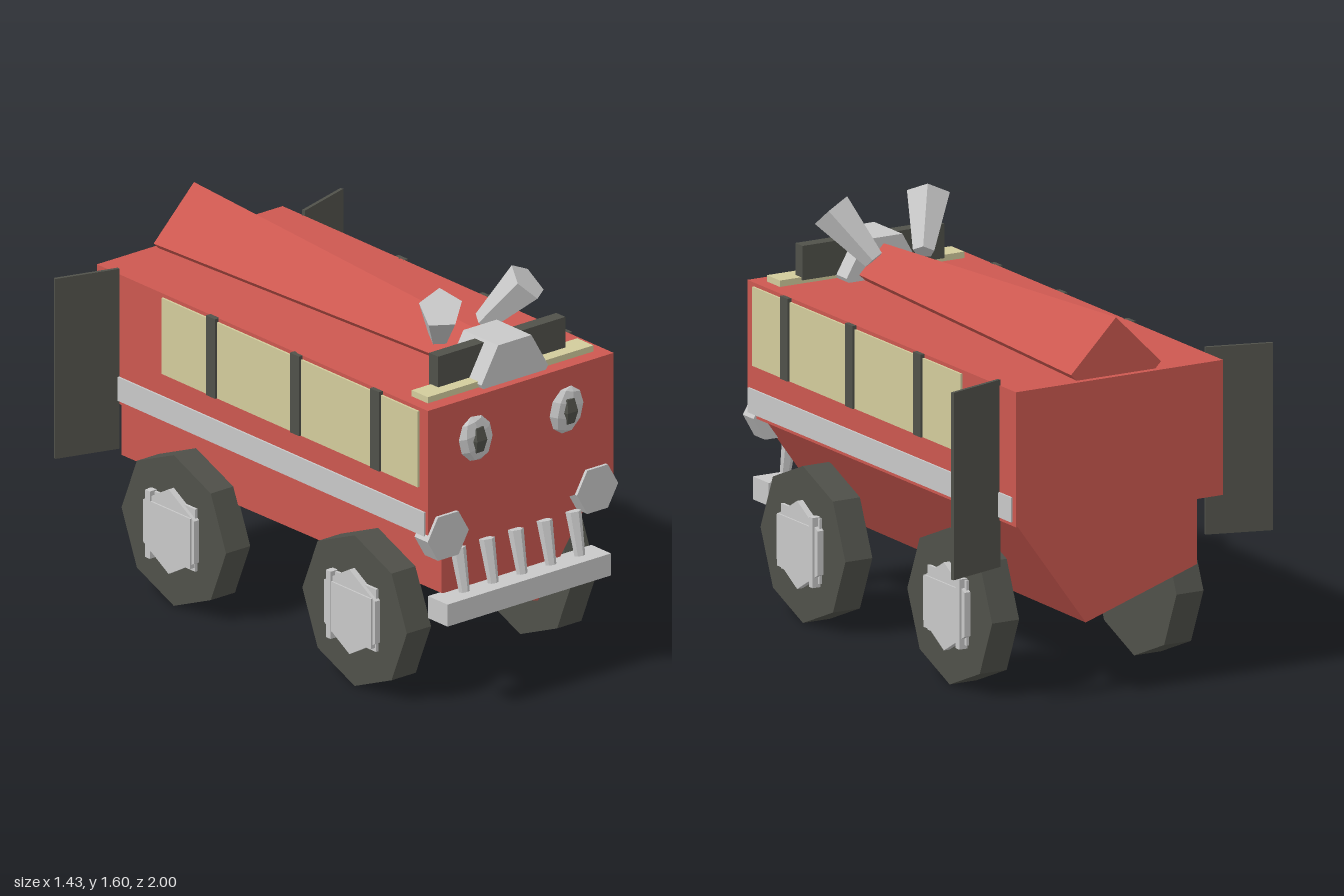
import * as THREE from 'three';

const mat = (name, color) => {
  const m = new THREE.MeshStandardMaterial({ color });
  m.name = name;
  return m;
};

// Faceted copy of a geometry
const flat = (geo) => {
  const g = geo.index ? geo.toNonIndexed() : geo;
  g.computeVertexNormals();
  return g;
};

export function createModel() {
  const model = new THREE.Group();
  model.name = 'bus';
  const red = mat('red', 0xcc5850);
  const cream = mat('cream', 0xd2cb9c);
  const silver = mat('silver', 0xc8c8c8);
  const dark = mat('dark grey', 0x50514a);
  const grey = mat('mid grey', 0x5e5e5e);

  const add = (name, geo, material) => {
    const mesh = new THREE.Mesh(flat(geo), material);
    mesh.name = name;
    model.add(mesh);
    return mesh;
  };

  // Box from its limits on each axis
  const box = (name, material, x0, x1, y0, y1, z0, z1) => {
    const mesh = add(name, new THREE.BoxGeometry(Math.abs(x1 - x0), y1 - y0, z1 - z0), material);
    mesh.position.set((x0 + x1) / 2, (y0 + y1) / 2, (z0 + z1) / 2);
    return mesh;
  };

  // Prism running along z, with its own front and back radius
  const prismZ = (name, material, sides, rFront, rBack, x, y, z0, z1, turn = Math.PI / 2) => {
    const geo = new THREE.CylinderGeometry(rFront, rBack, z1 - z0, sides, 1, false, turn);
    const mesh = add(name, geo.rotateX(Math.PI / 2), material);
    mesh.position.set(x, y, (z0 + z1) / 2);
    return mesh;
  };

  // Prism running along x
  const prismX = (name, material, sides, r, width, x, y, z, turn = 0) => {
    const geo = new THREE.CylinderGeometry(r, r, width, sides, 1, false, turn);
    const mesh = add(name, geo.rotateZ(-Math.PI / 2), material);
    mesh.position.set(x, y, z);
    return mesh;
  };

  // Tapered rod between two points
  const rod = (name, material, sides, r0, r1, from, to) => {
    const a = new THREE.Vector3(...from);
    const b = new THREE.Vector3(...to);
    const dir = b.clone().sub(a);
    const mesh = add(name, new THREE.CylinderGeometry(r1, r0, dir.length(), sides), material);
    mesh.position.copy(a).add(b).multiplyScalar(0.5);
    mesh.quaternion.setFromUnitVectors(new THREE.Vector3(0, 1, 0), dir.normalize());
    return mesh;
  };

  // Low-poly ellipsoid
  const blob = (name, material, sides, rings, size, pos) => {
    const mesh = add(name, new THREE.SphereGeometry(1, sides, rings).scale(...size), material);
    mesh.position.set(...pos);
    return mesh;
  };

  // Body, five-sided belly and roof ridge
  box('body', red, -0.46, 0.46, 0.72, 1.25, -1, 0.95);
  prismZ('belly', red, 5, 0.428, 0.442, -0.005, 0.715, -0.97, 0.9);
  prismZ('roofRidge', red, 4, 0.107, 0.2, 0, 1.275, -0.975, 0.75);

  // Front roof fittings
  box('roofPlate', cream, -0.41, 0.41, 1.24, 1.275, 0.795, 0.89);
  box('roofBar', dark, -0.315, 0.315, 1.265, 1.4, 0.785, 0.838);
  prismZ('roofDome', silver, 6, 0.165, 0.165, 0, 1.267, 0.71, 0.915);

  // Bumper and teeth
  box('bumper', silver, -0.405, 0.405, 0.37, 0.46, 0.885, 1);
  for (let i = -2; i <= 2; i++) {
    rod('tooth', silver, 6, 0.031, 0.021, [i * 0.143, 0.64, 0.92], [i * 0.143, 0.47, 0.958]);
  }

  for (const s of [-1, 1]) {
    // Windows, posts and trim strip
    box('windowBand', cream, s * 0.455, s * 0.469, 0.925, 1.235, -0.61, 0.9);
    for (const z of [0.657, 0.185, -0.31]) {
      box('windowPost', dark, s * 0.455, s * 0.478, 0.925, 1.25, z - 0.027, z + 0.027);
    }
    box('sideTrim', silver, s * 0.45, s * 0.468, 0.735, 0.832, -0.975, 0.935);

    // Horns
    rod('horn', silver, 5, 0.043, 0.086, [s * 0.11, 1.36, 0.6], [s * 0.215, 1.54, 0.735]);

    // Eyes and headlights
    const eye = blob('eyeWhite', silver, 8, 5, [0.083, 0.095, 0.032], [s * 0.225, 1.08, 0.952]);
    eye.rotation.z = -s * 0.25;
    blob('pupil', dark, 6, 4, [0.05, 0.07, 0.05], [s * 0.225, 1.08, 0.948]);
    prismZ('headlight', silver, 6, 0.102, 0.102, s * 0.37, 0.72, 0.885, 0.963);

    // Rear flaps, swept backwards
    const flap = add('rearFlap', new THREE.BoxGeometry(0.265, 0.735, 0.014), dark);
    flap.position.set(s * 0.585, 0.905, -0.912);
    flap.rotation.y = s * 0.293;

    // Wheels with layered hub plates
    for (const z of [0.53, -0.535]) {
      prismX('wheel', dark, 8, 0.308, 0.12, s * 0.41, 0.308, z);
      box('hubPlate', silver, s * 0.465, s * 0.482, 0.185, 0.44, z - 0.14, z + 0.14);
      prismX('hubCap', silver, 6, 0.173, 0.028, s * 0.482, 0.31, z, Math.PI / 2);
      box('hubPanel', silver, s * 0.48, s * 0.503, 0.2, 0.405, z - 0.1, z + 0.135);
      box('hubBar', silver, s * 0.465, s * 0.505, 0.17, 0.445, z - 0.128, z - 0.1);
    }
  }

  // Fuel cap on the left flank
  blob('fuelCap', grey, 6, 4, [0.05, 0.15, 0.056], [0.472, 0.808, -0.822]);

  return model;
}
